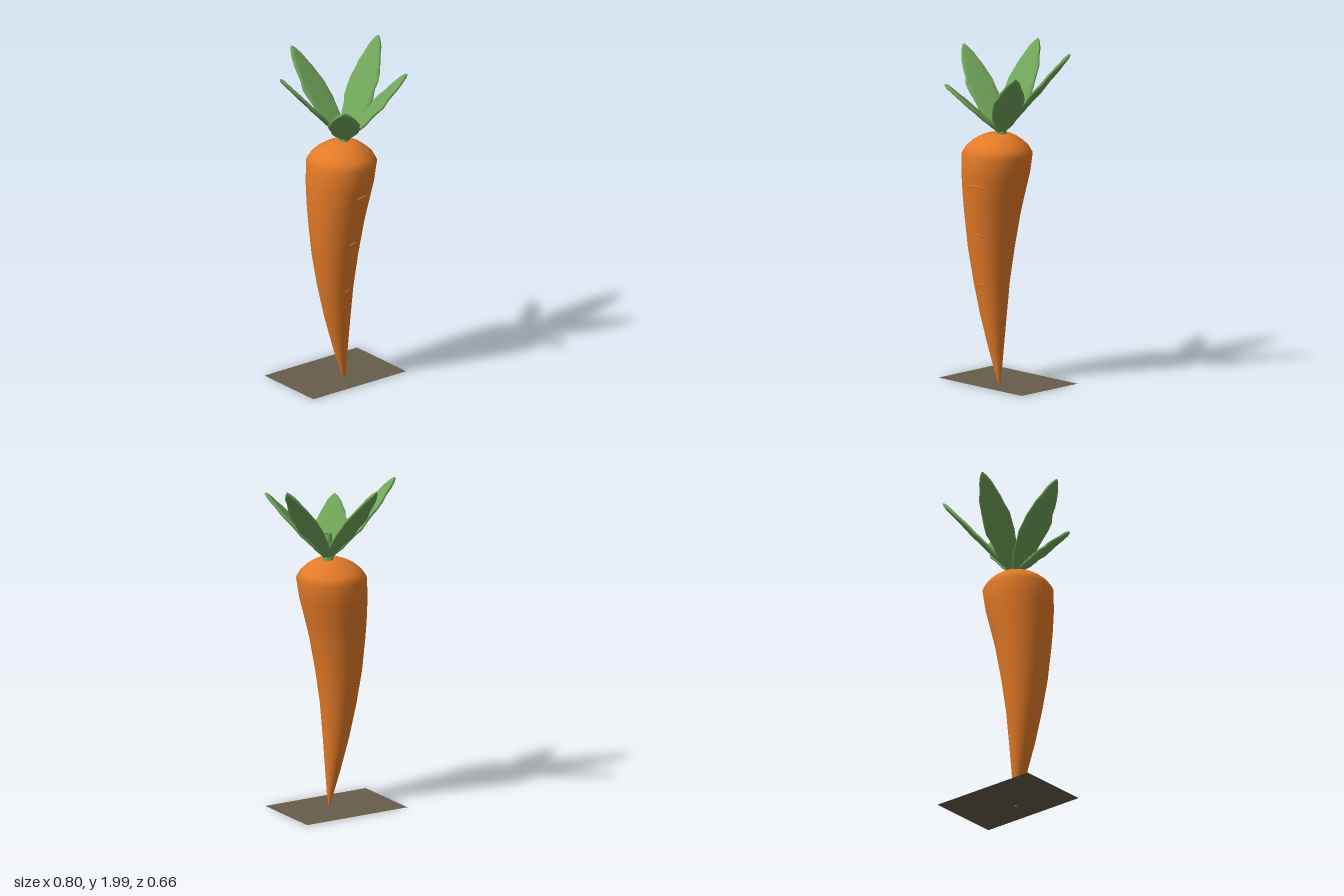
import * as THREE from 'three';

const orange = new THREE.MeshStandardMaterial({ color: 0xe37a27 });
orange.name = 'carrot orange';
const green = new THREE.MeshStandardMaterial({ color: 0x71a65a });
green.name = 'leaf green';
const soil = new THREE.MeshStandardMaterial({ color: 0x665d4b, side: THREE.DoubleSide });
soil.name = 'soil brown';

// Root cross-sections: height, centre x, radius
const ROOT_Z = 0.07;
const ROOT = [
  [0, -0.004, 0.008], [0.1, -0.016, 0.026], [0.2, -0.029, 0.044], [0.4, -0.051, 0.077],
  [0.6, -0.066, 0.106], [0.8, -0.069, 0.136], [1.0, -0.06, 0.163], [1.1, -0.051, 0.178],
  [1.25, -0.033, 0.199], [1.37, -0.02, 0.206], [1.41, -0.018, 0.182], [1.44, -0.017, 0.149],
  [1.465, -0.012, 0.112], [1.482, -0.008, 0.076], [1.486, -0.006, 0.03],
];

// Closed skin over a row of rings with equal point counts
function loft(rings) {
  const n = rings[0].length;
  const points = rings.flat();
  const index = [];
  for (let i = 0; i < rings.length - 1; i++) {
    for (let j = 0; j < n; j++) {
      const k = (j + 1) % n, a = i * n, b = a + n;
      index.push(a + j, b + j, a + k, b + j, b + k, a + k);
    }
  }
  const last = (rings.length - 1) * n;
  for (let j = 1; j < n - 1; j++) {
    index.push(0, j, j + 1, last, last + j + 1, last + j);
  }
  const geometry = new THREE.BufferGeometry().setFromPoints(points);
  geometry.setIndex(index);
  geometry.computeVertexNormals();
  return geometry;
}

function rootGeometry() {
  const sides = 32;
  return loft(ROOT.map(([y, cx, r]) => Array.from({ length: sides }, (_, j) => {
    const a = (j / sides) * Math.PI * 2;
    return new THREE.Vector3(cx + r * Math.cos(a), y, ROOT_Z + r * Math.sin(a));
  })));
}

// Point on the front of the root
function onRoot(x, y) {
  const i = ROOT.findIndex((s) => s[0] > y);
  const [a, b] = [ROOT[i - 1], ROOT[i]];
  const t = (y - a[0]) / (b[0] - a[0]);
  const cx = a[1] + (b[1] - a[1]) * t, r = a[2] + (b[2] - a[2]) * t;
  return new THREE.Vector3(x, y, ROOT_Z + Math.sqrt(r * r - (x - cx) ** 2));
}

// Leaf outline: position along the leaf, half width
const LEAF = [
  [0, 0.014], [0.08, 0.032], [0.16, 0.056], [0.25, 0.074], [0.33, 0.081], [0.41, 0.092], [0.5, 0.091],
  [0.58, 0.092], [0.66, 0.08], [0.74, 0.071], [0.82, 0.054], [0.9, 0.04], [0.96, 0.021], [1, 0.005],
];

// Flat blade with rounded rims and slightly wavy edges
function leafGeometry(base, tip, phase) {
  const along = tip.clone().sub(base);
  const T = along.clone().normalize();
  const W = new THREE.Vector3(T.z, 0, -T.x).normalize();
  const N = new THREE.Vector3().crossVectors(W, T);
  const sides = 16;
  return loft(LEAF.map(([t, w]) => {
    const thick = Math.min(0.011, w);
    return Array.from({ length: sides }, (_, j) => {
      const a = (j / sides) * Math.PI * 2;
      const c = Math.cos(a), s = Math.sin(a);
      const side = Math.sign(c) * Math.sqrt(Math.abs(c));
      const ripple = 0.004 * Math.sin(t * 22 + phase + c * 2) * c * c * Math.sin(t * Math.PI);
      return base.clone().addScaledVector(along, t)
        .addScaledVector(W, side * (w + ripple))
        .addScaledVector(N, Math.sign(s) * Math.sqrt(Math.abs(s)) * thick + ripple);
    });
  }));
}

export function createModel() {
  const model = new THREE.Group();
  model.name = 'carrot';
  const add = (name, geometry, material) => {
    const mesh = new THREE.Mesh(geometry, material);
    mesh.name = name;
    model.add(mesh);
    return mesh;
  };

  add('root', rootGeometry(), orange);

  // Raised creases on the front: centre x, centre y, half length
  [[-0.005, 1.187, 0.044], [-0.04, 0.89, 0.035], [-0.05, 0.585, 0.025]].forEach(([x, y, h], i) => {
    const path = [-1, -0.5, 0, 0.5, 1].map((u) => onRoot(x + u * h, y + 0.013 * (1 - u * u)));
    add('crease' + (i + 1), new THREE.TubeGeometry(new THREE.CatmullRomCurve3(path), 16, 0.005, 6), orange);
  });

  // Short hollow stem in the middle of the leaves
  const stemProfile = [[0.03, 1.47], [0.03, 1.505], [0.023, 1.53], [0.02, 1.64], [0.013, 1.64], [0.013, 1.6], [0, 1.6]];
  const stem = add('stem', new THREE.LatheGeometry(stemProfile.map(([r, y]) => new THREE.Vector2(r, y)), 12), green);
  stem.position.set(0.006, 0, 0.062);

  // Leaves fan out from the stem to their tips
  const base = new THREE.Vector3(0.008, 1.49, 0.064);
  const tips = {
    backLeaf: [-0.08, 1.975, -0.325], leftBackLeaf: [0.395, 1.99, -0.11], leftFrontLeaf: [0.315, 1.885, 0.258],
    rightFrontLeaf: [-0.2, 1.785, 0.32], rightLeaf: [-0.395, 1.94, -0.027],
  };
  Object.entries(tips).forEach(([name, tip], i) => {
    add(name, leafGeometry(base, new THREE.Vector3(...tip), i * 1.7), green);
  });

  // Thin ground patch around the tip
  const patch = add('soilPatch', new THREE.PlaneGeometry(0.685, 0.458).rotateX(-Math.PI / 2), soil);
  patch.position.set(-0.007, 0.003, -0.005);

  return model;
}
